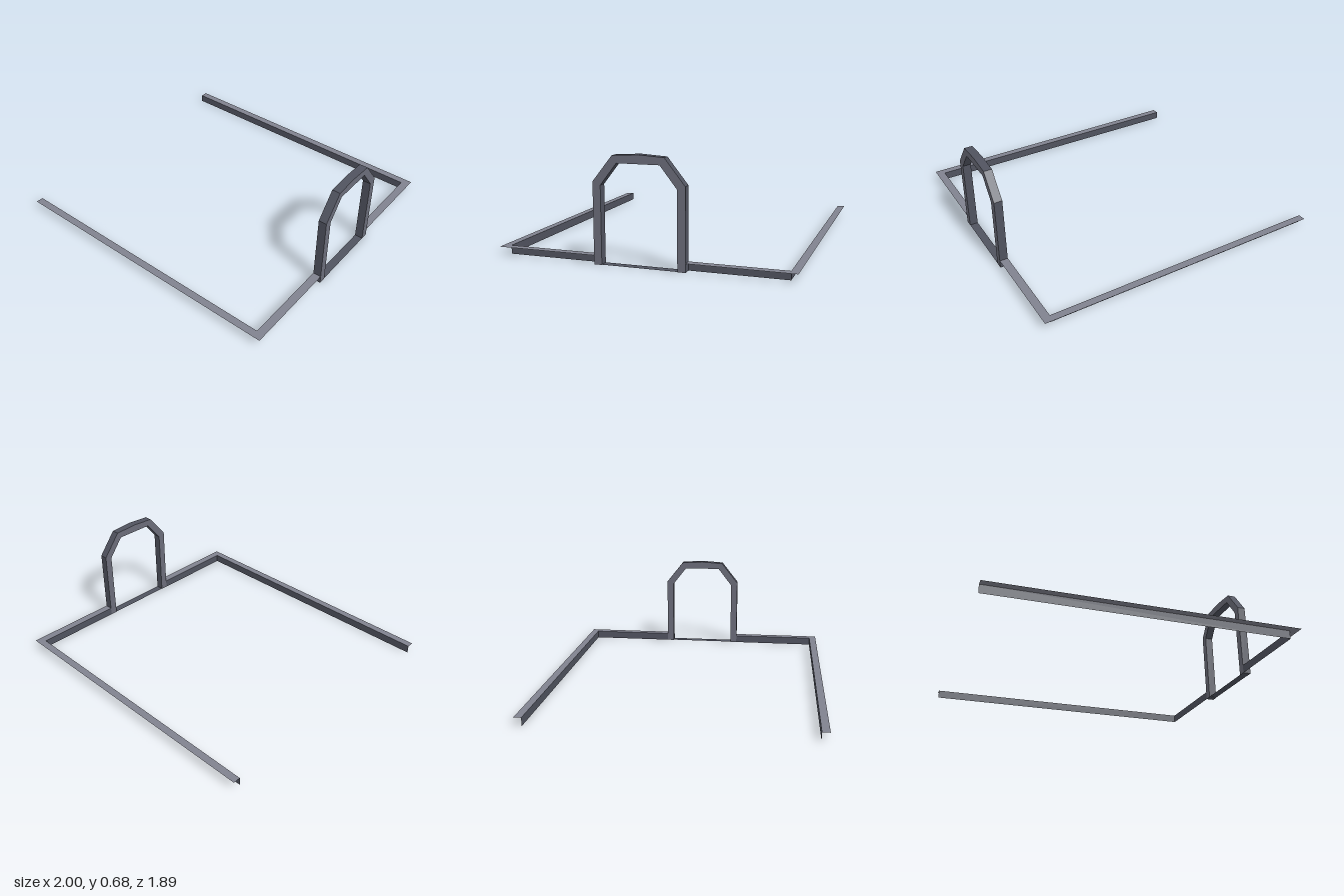
import * as THREE from 'three';

export function createModel() {
  const group = new THREE.Group();
  const mat = (name, color) => {
    const m = new THREE.MeshStandardMaterial({ color, side: THREE.DoubleSide });
    m.name = name;
    return m;
  };
  const dark = mat('dark slate', 0x50535f);
  const mid = mat('mid slate', 0x6a6c79);
  const light = mat('light slate', 0x80828f);

  const add = (name, geometry, material, x = 0, y = 0, z = 0) => {
    const mesh = new THREE.Mesh(geometry, material);
    mesh.name = name;
    mesh.position.set(x, y, z);
    group.add(mesh);
  };
  const shapeOf = (points) => new THREE.Shape(points.map(([x, y]) => new THREE.Vector2(x, y)));

  const T = 0.055;          // rail width and height
  const X = 1, Z = 0.945;   // outer edges
  const XI = X - T, ZI = Z - T + 0.005; // inner edges, where the webs hang
  const A = 0.29, AI = 0.24; // outer and inner half width of the arch

  for (const s of [1, -1]) {
    const side = s > 0 ? 'front' : 'back';

    // L-shaped top flange: long rail plus the short return up to the arch
    const flange = new THREE.ShapeGeometry(shapeOf([
      [-X, -s * Z], [X, -s * Z], [X, -s * A], [XI, -s * A], [XI, -s * ZI], [-X, -s * ZI],
    ]));
    flange.rotateX(-Math.PI / 2);
    add(side + 'RailFlange', flange, light, 0, T, 0);

    // upright webs along the inner edge of the flange
    const longWeb = new THREE.PlaneGeometry(XI + X, T);
    if (s > 0) longWeb.rotateY(Math.PI);
    add(side + 'RailWeb', longWeb, dark, (XI - X) / 2, T / 2, s * ZI);

    const shortWeb = new THREE.PlaneGeometry(ZI - A, T);
    shortWeb.rotateY(-Math.PI / 2);
    add(side + 'ReturnWeb', shortWeb, dark, XI, T / 2, s * (ZI + A) / 2);
  }

  // flat threshold between the arch posts
  const sill = new THREE.PlaneGeometry(T, 2 * AI);
  sill.rotateX(-Math.PI / 2);
  add('threshold', sill, dark, X - T / 2, 0.002, 0);

  // door arch with chamfered shoulders and a slight peak
  const arch = new THREE.ExtrudeGeometry(shapeOf([
    [A, 0], [A, 0.505], [0.163, 0.665], [0, 0.675], [-0.163, 0.665], [-A, 0.505], [-A, 0],
    [-AI, 0], [-AI, 0.485], [-0.135, 0.62], [0.135, 0.62], [AI, 0.485], [AI, 0],
  ]), { depth: T, bevelEnabled: false });
  arch.rotateY(Math.PI / 2);
  add('doorArch', arch, [mid, dark], XI, 0, 0);

  return group;
}
